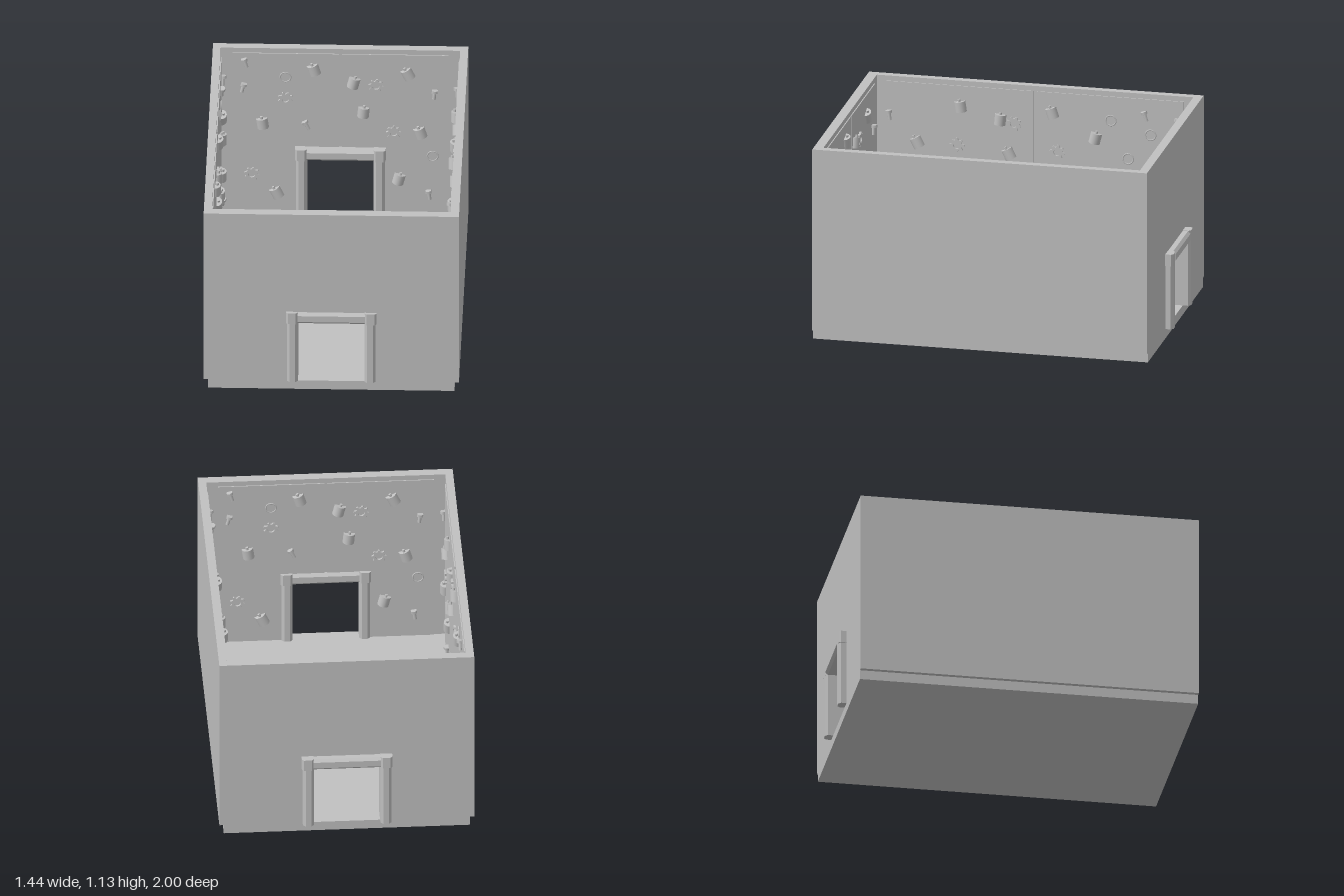
import * as THREE from 'three';

const grey = new THREE.MeshStandardMaterial({ color: 0xc0c0c0 });
grey.name = 'stone grey';

function add(parent, name, geometry, x = 0, y = 0, z = 0) {
  const mesh = new THREE.Mesh(geometry, grey);
  mesh.name = name;
  mesh.position.set(x, y, z);
  parent.add(mesh);
  return mesh;
}

const polygon = (points) => new THREE.Shape(points.map(([x, y]) => new THREE.Vector2(x, y)));
const extrude = (shape, depth) =>
  new THREE.ExtrudeGeometry(shape, { depth, bevelEnabled: false, curveSegments: 12 });

const FLOOR = 0.055, TOP = 1.13, DOOR_X = 0.19, DOOR_Y = 0.43;

// End wall with a doorway notched out of its lower edge
function endWall(parent, name, z, depth) {
  add(parent, name, extrude(polygon([
    [-0.72, FLOOR], [-DOOR_X, FLOOR], [-DOOR_X, DOOR_Y], [DOOR_X, DOOR_Y],
    [DOOR_X, FLOOR], [0.72, FLOOR], [0.72, TOP], [-0.72, TOP],
  ]), depth), 0, 0, z);
}

// Bar with chamfered edges, lying along local z
function chamferedBar(width, depth, length, c) {
  const w = width / 2, d = depth / 2;
  return extrude(polygon([
    [-w + c, -d], [w - c, -d], [w, -d + c], [w, d - c],
    [w - c, d], [-w + c, d], [-w, d - c], [-w, -d + c],
  ]), length);
}

// Door surround: two posts, lintel and slightly flared corner blocks
function doorFrame(name, z, depth) {
  const frame = new THREE.Group();
  frame.name = name;
  frame.position.z = z;
  for (const s of [-1, 1]) {
    const post = add(frame, 'doorPost', chamferedBar(0.062, depth, 0.44 - FLOOR, 0.015), s * 0.219, FLOOR, 0);
    post.rotation.x = -Math.PI / 2;
    const cap = add(frame, 'doorCorner', chamferedBar(0.068, depth, 0.07, 0.012), s * 0.222, 0.43, 0);
    cap.rotation.x = -Math.PI / 2;
  }
  const lintel = add(frame, 'doorLintel', chamferedBar(depth, 0.068, 0.38, 0.015), -0.19, 0.464, 0);
  lintel.rotation.y = Math.PI / 2;
  return frame;
}

// Small wall ornaments; each lies against the local z = 0 plane
const canBody = new THREE.CylinderGeometry(0.033, 0.033, 0.062, 16);
const canKnob = new THREE.CylinderGeometry(0.008, 0.008, 0.016, 8);
const boltHead = new THREE.CylinderGeometry(0.019, 0.019, 0.016, 6);
const boltShaft = new THREE.CylinderGeometry(0.01, 0.01, 0.045, 8);
const ringGeometry = new THREE.TorusGeometry(0.03, 0.004, 6, 20);

function gearGeometry() {
  const points = [], teeth = 8;
  for (let i = 0; i < teeth * 4; i++) {
    const a = (i / (teeth * 4)) * Math.PI * 2, r = i % 4 < 2 ? 0.043 : 0.032;
    points.push([Math.cos(a) * r, Math.sin(a) * r]);
  }
  const shape = polygon(points);
  shape.holes.push(new THREE.Path().absarc(0, 0, 0.02, 0, Math.PI * 2, true));
  return extrude(shape, 0.012);
}
const gear = gearGeometry();

const ornaments = {
  can(g) {
    add(g, 'canBody', canBody).scale.z = 0.95;
    add(g, 'canKnob', canKnob, 0, 0.038, 0.012);
  },
  bolt(g) {
    add(g, 'boltHead', boltHead, 0, 0.022, 0.01);
    add(g, 'boltShaft', boltShaft, 0, -0.006, 0.008);
  },
  gear(g) { add(g, 'gear', gear); },
  ring(g) { add(g, 'ring', ringGeometry, 0, 0, 0.004); },
};

function decorate(wall, spots) {
  for (const [kind, list] of Object.entries(spots)) {
    list.forEach(([x, y], i) => {
      const g = new THREE.Group();
      g.name = kind + 'Ornament';
      g.position.set(x, y, 0.006);
      g.rotation.z = [0.3, -0.25, 0.45, -0.1, 0.15][i % 5];
      ornaments[kind](g);
      wall.add(g);
    });
  }
}

// Inner faces of one end wall and one side wall
function innerWalls() {
  const half = new THREE.Group();
  half.name = 'innerWalls';

  const end = new THREE.Group();
  end.name = 'endWallInside';
  end.position.z = -0.915;
  const y0 = FLOOR, y1 = 1.1;
  for (const s of [-1, 1]) {
    const outline = [[0.008, 0.48], [0.24, 0.48], [0.24, y0], [0.61, y0], [0.61, y1], [0.008, y1]];
    add(end, 'endPanel', extrude(polygon(outline.map(([x, y]) => [s * x, y])), 0.006));
  }
  decorate(end, {
    can: [[-0.15, 1.0], [0.075, 0.92], [0.38, 0.98], [0.13, 0.73], [-0.44, 0.65], [0.45, 0.6], [0.33, 0.3], [-0.36, 0.2]],
    gear: [[-0.31, 0.81], [0.2, 0.9], [-0.5, 0.32], [0.3, 0.6]],
    bolt: [[-0.536, 1.04], [-0.55, 0.88], [-0.19, 0.64], [0.53, 0.85], [0.5, 0.2]],
    ring: [[-0.31, 0.95], [0.52, 0.45]],
  });

  // Local x runs towards the back on this wall
  const side = new THREE.Group();
  side.name = 'sideWallInside';
  side.position.x = -0.675;
  side.rotation.y = Math.PI / 2;
  for (const s of [-1, 1]) {
    add(side, 'sidePanel', new THREE.BoxGeometry(0.85, y1 - y0, 0.006), s * 0.435, (y0 + y1) / 2, 0.003);
  }
  decorate(side, {
    can: [[0.1, 0.98], [0.35, 0.85], [0.82, 0.73], [0.75, 0.63], [0.74, 0.4], [0.42, 0.46], [0.22, 0.55],
      [-0.15, 0.72], [-0.2, 0.92], [-0.43, 0.98], [-0.35, 0.6], [-0.47, 0.4], [-0.68, 0.75], [-0.78, 0.45]],
    gear: [[-0.12, 0.9], [0.13, 0.75], [0.46, 0.57], [-0.45, 0.75], [-0.7, 0.58]],
    bolt: [[0.64, 1.0], [0.82, 0.97], [0.79, 0.2], [-0.52, 0.2], [-0.84, 0.9]],
    ring: [[0.44, 0.96], [0.67, 0.89], [0.54, 0.74], [-0.3, 0.3]],
  });

  half.add(end, side);
  return half;
}

export function createModel() {
  const model = new THREE.Group();
  model.name = 'roofless room';

  // Floor slab, narrower than the walls on the long sides
  add(model, 'floor', new THREE.BoxGeometry(1.39, FLOOR, 1.935), 0, FLOOR / 2, 0.0125);

  // Outer walls
  endWall(model, 'frontWall', 0.925, 0.055);
  endWall(model, 'backWall', -0.955, 0.05);
  for (const s of [-1, 1]) {
    add(model, s < 0 ? 'rightWall' : 'leftWall', new THREE.BoxGeometry(0.045, TOP - FLOOR, 1.83),
      s * 0.6975, (TOP + FLOOR) / 2, 0.01);
  }

  // Door surrounds
  model.add(doorFrame('frontDoorFrame', 0.95, 0.1), doorFrame('backDoorFrame', -0.925, 0.15));

  // Ornamented interior, repeated by a half turn
  for (const turn of [0, Math.PI]) {
    const half = innerWalls();
    half.position.z = 0.01;
    half.rotation.y = turn;
    model.add(half);
  }
  return model;
}
